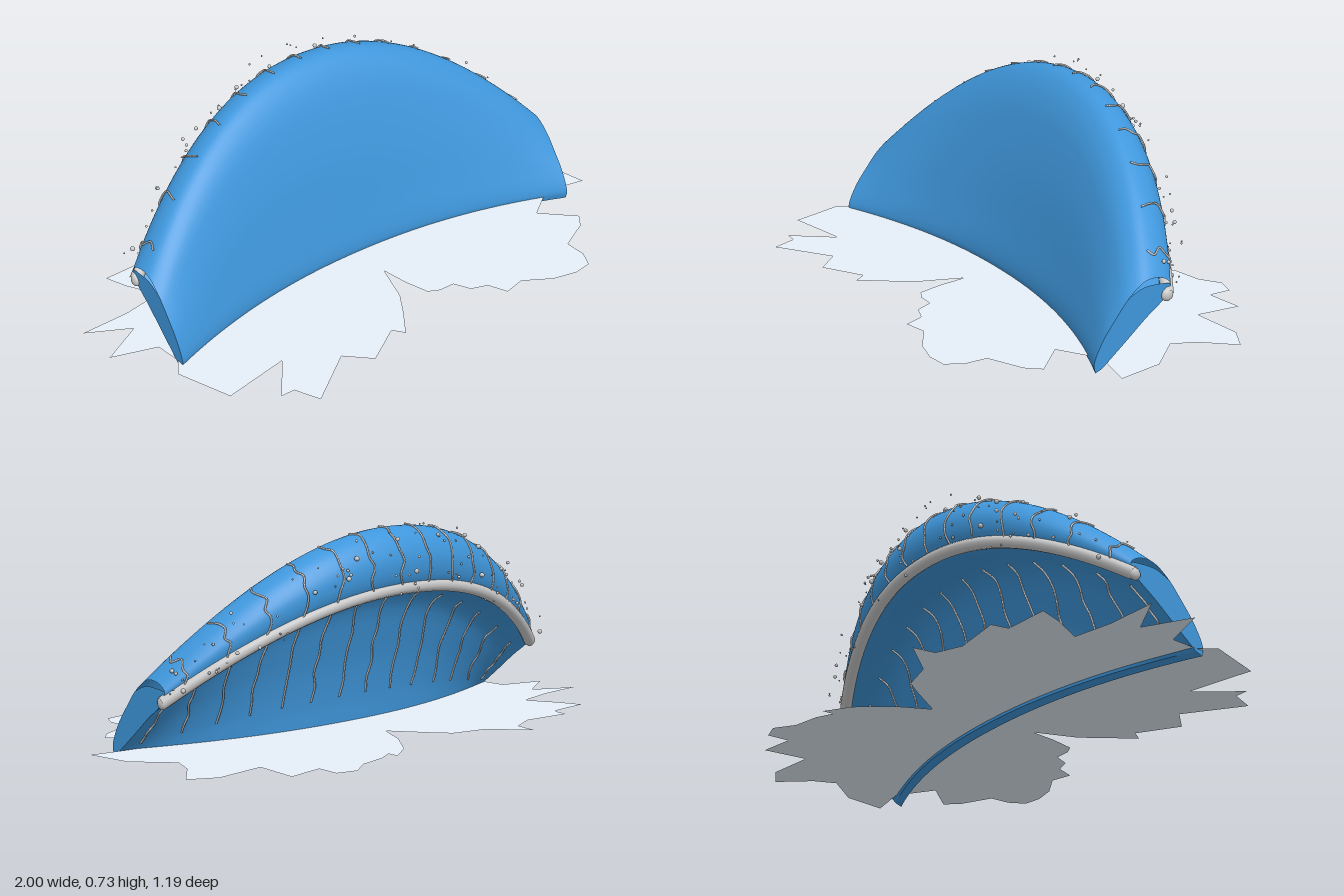
import * as THREE from 'three';

// Cross-sections as [z, y], from the front foot over the crest and lip to the inner foot
const MIDDLE = [[-0.01, 0], [0, 0.04], [-0.03, 0.2], [-0.09, 0.45], [-0.165, 0.645], [-0.235, 0.715], [-0.31, 0.7],
  [-0.357, 0.62], [-0.335, 0.52], [-0.165, 0.47], [-0.09, 0.3], [-0.05, 0.12], [-0.04, 0.01]];
const END = [[0.165, 0], [0.17, 0.03], [0.14, 0.1], [0.09, 0.17], [0.04, 0.23], [-0.02, 0.272], [-0.08, 0.27],
  [-0.112, 0.245], [-0.1, 0.21], [-0.02, 0.145], [0.05, 0.085], [0.11, 0.035], [0.14, 0.01]];
const CENTRE = 0.03, HALF = 0.86, LIP = 8 / 12;

const curveOf = (pts) => new THREE.CatmullRomCurve3(pts.map(([z, y]) => new THREE.Vector3(0, y, z)));
const middleCurve = curveOf(MIDDLE), endCurve = curveOf(END);

// Point on the wave: t runs -1..1 along it, s runs 0..1 around the section
function wavePoint(t, s) {
  const k = Math.pow(Math.min(1, Math.abs(t)), 2.1);
  const p = middleCurve.getPoint(s).lerp(endCurve.getPoint(s), k);
  p.x = CENTRE + t * HALF;
  return p;
}

function waveNormal(t, s) {
  const e = 0.004;
  const a = wavePoint(t + e, s).sub(wavePoint(t - e, s));
  const b = wavePoint(t, Math.min(1, s + e)).sub(wavePoint(t, Math.max(0, s - e)));
  return a.cross(b).normalize();
}

// Grid surface from a point function
function gridGeometry(nx, ny, fn) {
  const pos = [], idx = [];
  for (let j = 0; j <= ny; j++)
    for (let i = 0; i <= nx; i++) pos.push(...fn(i / nx, j / ny).toArray());
  for (let j = 0; j < ny; j++)
    for (let i = 0; i < nx; i++) {
      const a = j * (nx + 1) + i, c = a + nx + 1;
      idx.push(a, a + 1, c, a + 1, c + 1, c);
    }
  const g = new THREE.BufferGeometry();
  g.setAttribute('position', new THREE.Float32BufferAttribute(pos, 3));
  g.setIndex(idx);
  g.computeVertexNormals();
  return g;
}

function seeded(seed) {
  return () => {
    seed = (seed * 16807) % 2147483647;
    return seed / 2147483647;
  };
}

export function createModel() {
  const model = new THREE.Group();
  const blue = new THREE.MeshStandardMaterial({ color: 0x3f97dc, side: THREE.DoubleSide });
  const grey = new THREE.MeshStandardMaterial({ color: 0xcccccc });
  const white = new THREE.MeshStandardMaterial({ color: 0xf4f4f4 });
  const pale = new THREE.MeshStandardMaterial({ color: 0xe6f0f8, side: THREE.DoubleSide });
  const rand = seeded(4217);
  const add = (geo, mat, name, parent = model) => {
    const m = new THREE.Mesh(geo, mat);
    m.name = name;
    parent.add(m);
    return m;
  };

  // Curling wave body with its underside
  const wave = new THREE.Group();
  wave.name = 'wave';
  model.add(wave);
  add(gridGeometry(64, 60, (u, v) => wavePoint(u * 2 - 1, v)), blue, 'waveSurface', wave);
  add(gridGeometry(64, 1, (u, v) => wavePoint(u * 2 - 1, 1 - v)), blue, 'waveUnderside', wave);

  // Flat ends, leaving a thin open slit beneath the crest
  for (const t of [-1, 1]) {
    const outline = [];
    for (let j = 0; j <= 60; j++) {
      const s = j / 60, p = wavePoint(t, s);
      const slit = THREE.MathUtils.clamp((s - 0.33) / 0.25, 0, 1);
      outline.push(new THREE.Vector2(-p.z, p.y - 0.022 * Math.sin(slit * Math.PI)));
    }
    const cap = new THREE.ShapeGeometry(new THREE.Shape(outline)).rotateY(Math.PI / 2);
    add(cap.translate(CENTRE + t * HALF, 0, 0), blue, t < 0 ? 'rightEnd' : 'leftEnd', wave);
  }

  // Foam roll along the lip, with flattened round ends
  const lip = [];
  for (let i = 0; i <= 24; i++) lip.push(wavePoint(i / 12 - 1, LIP));
  add(new THREE.TubeGeometry(new THREE.CatmullRomCurve3(lip), 80, 0.022, 10), white, 'foamRoll');
  for (const p of [lip[0], lip[24]]) {
    const end = add(new THREE.SphereGeometry(0.022, 12, 8), white, 'foamRollEnd');
    end.position.copy(p);
    end.scale.x = 0.6;
  }

  // Wavering streaks running over the crest and down the hollow face
  const streaks = new THREE.Group();
  streaks.name = 'streaks';
  model.add(streaks);
  const streak = (t0, from, to, steps) => {
    const pts = [];
    for (let j = 0; j <= steps; j++) {
      const s = from + (to - from) * j / steps;
      const t = THREE.MathUtils.clamp(t0 + (rand() - 0.5) * 0.022, -0.98, 0.98);
      pts.push(wavePoint(t, s).addScaledVector(waveNormal(t, s), 0.004));
    }
    add(new THREE.TubeGeometry(new THREE.CatmullRomCurve3(pts), 30, 0.0035, 5), grey, 'streak', streaks);
  };
  for (let i = 0; i < 14; i++) {
    const t = -0.93 + i * 1.86 / 13;
    streak(t, 0.43, 0.65, 7);
    streak(t, 0.73, 0.92, 7);
  }

  // Spray drops thrown off behind the crest and lip
  const spray = new THREE.Group();
  spray.name = 'spray';
  model.add(spray);
  const drop = new THREE.IcosahedronGeometry(1, 1);
  for (let i = 0; i < 90; i++) {
    const t = rand() * 2 - 1, s = 0.5 + rand() * 0.17;
    const d = add(drop, grey, 'drop', spray);
    d.position.copy(wavePoint(t, s)).addScaledVector(waveNormal(t, s), 0.005 + 0.065 * rand() * rand());
    d.scale.setScalar(0.003 + 0.007 * rand() * rand());
  }

  // Ragged splash sheet on the ground, outline as [x, z]
  const splash = [[0.03, 0.15], [0.045, 0.25], [0.07, 0.34], [0.11, 0.36], [0.17, 0.36], [0.2, 0.42], [0.26, 0.44],
    [0.29, 0.51], [0.37, 0.49], [0.47, 0.55], [0.56, 0.57], [0.63, 0.56], [0.66, 0.5], [0.66, 0.42], [0.78, 0.36],
    [0.82, 0.31], [0.71, 0.2], [0.84, 0.11], [1, 0.14], [0.97, -0.02], [0.86, -0.14], [0.89, -0.22], [0.98, -0.33],
    [0.89, -0.38], [0.71, -0.36], [0.72, -0.52], [0.59, -0.5], [0.59, -0.58], [0.52, -0.6], [0.45, -0.55],
    [0.35, -0.53], [0.29, -0.5], [0.29, -0.54], [0.2, -0.48], [0.11, -0.36], [0.06, -0.25], [-0.03, -0.37],
    [-0.08, -0.43], [-0.2, -0.46], [-0.32, -0.58], [-0.33, -0.5], [-0.42, -0.46], [-0.6, -0.48], [-0.61, -0.42],
    [-0.77, -0.41], [-0.74, -0.33], [-0.68, -0.22], [-0.82, -0.19], [-1, -0.18], [-0.85, -0.1], [-1, -0.01],
    [-0.84, 0.04], [-0.83, 0.14], [-0.87, 0.2], [-0.8, 0.4], [-0.56, 0.35], [-0.67, 0.5], [-0.62, 0.5],
    [-0.58, 0.59], [-0.39, 0.45], [-0.31, 0.53], [-0.17, 0.44], [-0.14, 0.48], [-0.07, 0.38], [-0.02, 0.3]];
  const shape = new THREE.Shape(splash.map(([x, z]) => new THREE.Vector2(x, -z)));
  add(new THREE.ShapeGeometry(shape).rotateX(-Math.PI / 2), pale, 'splashSheet').position.y = 0.02;

  return model;
}
